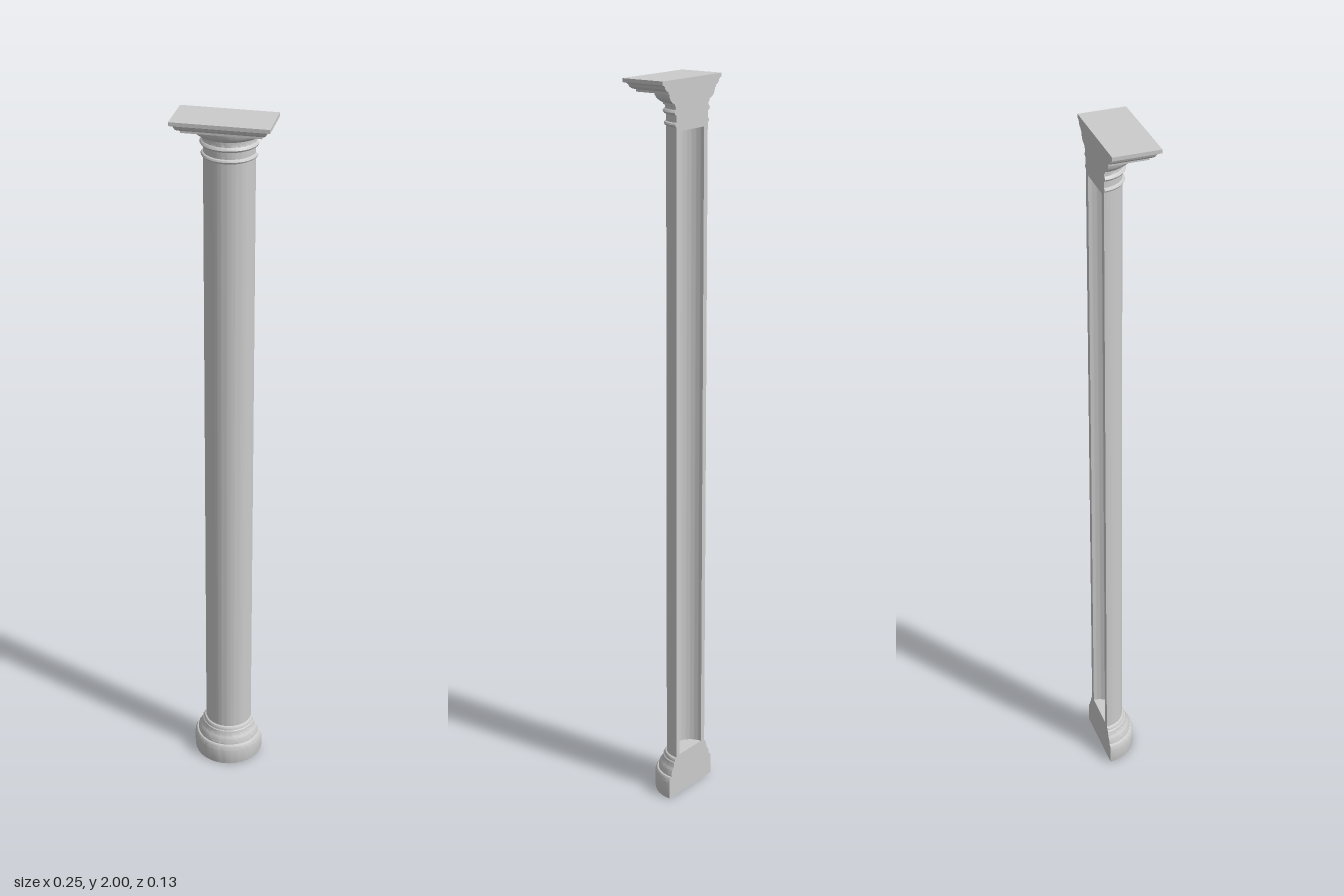
import * as THREE from 'three';
import { toCreasedNormals } from 'three/addons/utils/BufferGeometryUtils.js';

const BACK = -0.0625; // plane of the flat back
const material = new THREE.MeshStandardMaterial({ color: 0xcccccc });

// Half revolution of [radius, y] points; a square plan pushes the diagonals out to corners
function halfTurn(points, square = false) {
  const geo = new THREE.LatheGeometry(
    points.map(([r, y]) => new THREE.Vector2(r, y)), square ? 4 : 40, -Math.PI / 2, Math.PI);
  if (square) {
    const p = geo.attributes.position;
    for (let i = 0; i < p.count; i++) {
      const x = p.getX(i), z = p.getZ(i);
      if (Math.abs(x) > 1e-5 && z > 1e-5) p.setXYZ(i, x * Math.SQRT2, p.getY(i), z * Math.SQRT2);
    }
  }
  return toCreasedNormals(geo, square ? 0.3 : 0.6);
}

// Flat back closing a half turned part, with an optional recess opening
function backFace(points, opening) {
  const right = points.filter(([r]) => r > 0);
  const outline = [...right, ...right.map(([r, y]) => [-r, y]).reverse()];
  const shape = new THREE.Shape(outline.map(([x, y]) => new THREE.Vector2(x, y)));
  if (opening) {
    const { r, y0, y1 } = opening;
    shape.holes.push(new THREE.Path([[-r, y0], [-r, y1], [r, y1], [r, y0]]
      .map(([x, y]) => new THREE.Vector2(x, y))));
  }
  return new THREE.ShapeGeometry(shape).rotateY(Math.PI);
}

function part(name, points, { square = false, opening } = {}) {
  const group = new THREE.Group();
  group.name = name;
  const add = (label, geo) => {
    const mesh = new THREE.Mesh(geo, material);
    mesh.name = label;
    group.add(mesh);
  };
  add(name + 'Front', halfTurn(points, square));
  add(name + 'Back', backFace(points, opening));
  if (opening) {
    const { r, y0, y1 } = opening;
    add(name + 'Recess', halfTurn([[0, y1], [r, y1], [r, y0], [0, y0]]));
  }
  group.position.z = BACK;
  return group;
}

export function createModel() {
  const model = new THREE.Group();
  model.name = 'halfColumn';

  // Round plinth, torus, scotia and fillet
  model.add(part('base', [
    [0, 0], [0.098, 0], [0.1, 0.01], [0.1, 0.05], [0.098, 0.059], [0.094, 0.064],
    [0.09, 0.065], [0.09, 0.07], [0.088, 0.078], [0.083, 0.086], [0.079, 0.092],
    [0.077, 0.098], [0.077, 0.103], [0.074, 0.105], [0.073, 0.11], [0.071, 0.114],
    [0.067, 0.116], [0, 0.116],
  ]));

  // Plain shaft, hollowed from behind
  model.add(part('shaft', [[0.067, 0.116], [0.067, 1.88]],
    { opening: { r: 0.051, y0: 0.12, y1: 1.87 } }));

  // Bead, necking, ring and echinus
  model.add(part('capital', [
    [0, 1.88], [0.067, 1.88], [0.071, 1.882], [0.073, 1.886], [0.071, 1.89], [0.067, 1.892],
    [0.067, 1.91], [0.073, 1.912], [0.076, 1.917], [0.073, 1.922], [0.07, 1.924],
    [0.07, 1.932], [0.075, 1.934], [0.075, 1.939], [0.083, 1.942], [0.091, 1.948],
    [0.096, 1.956], [0.098, 1.966], [0, 1.966],
  ]));

  // Square slab with a moulded edge
  model.add(part('abacus', [
    [0, 1.966], [0.102, 1.966], [0.102, 1.972], [0.109, 1.974], [0.114, 1.979],
    [0.117, 1.986], [0.121, 1.989], [0.126, 1.99], [0.126, 2], [0, 2],
  ], { square: true }));

  return model;
}
